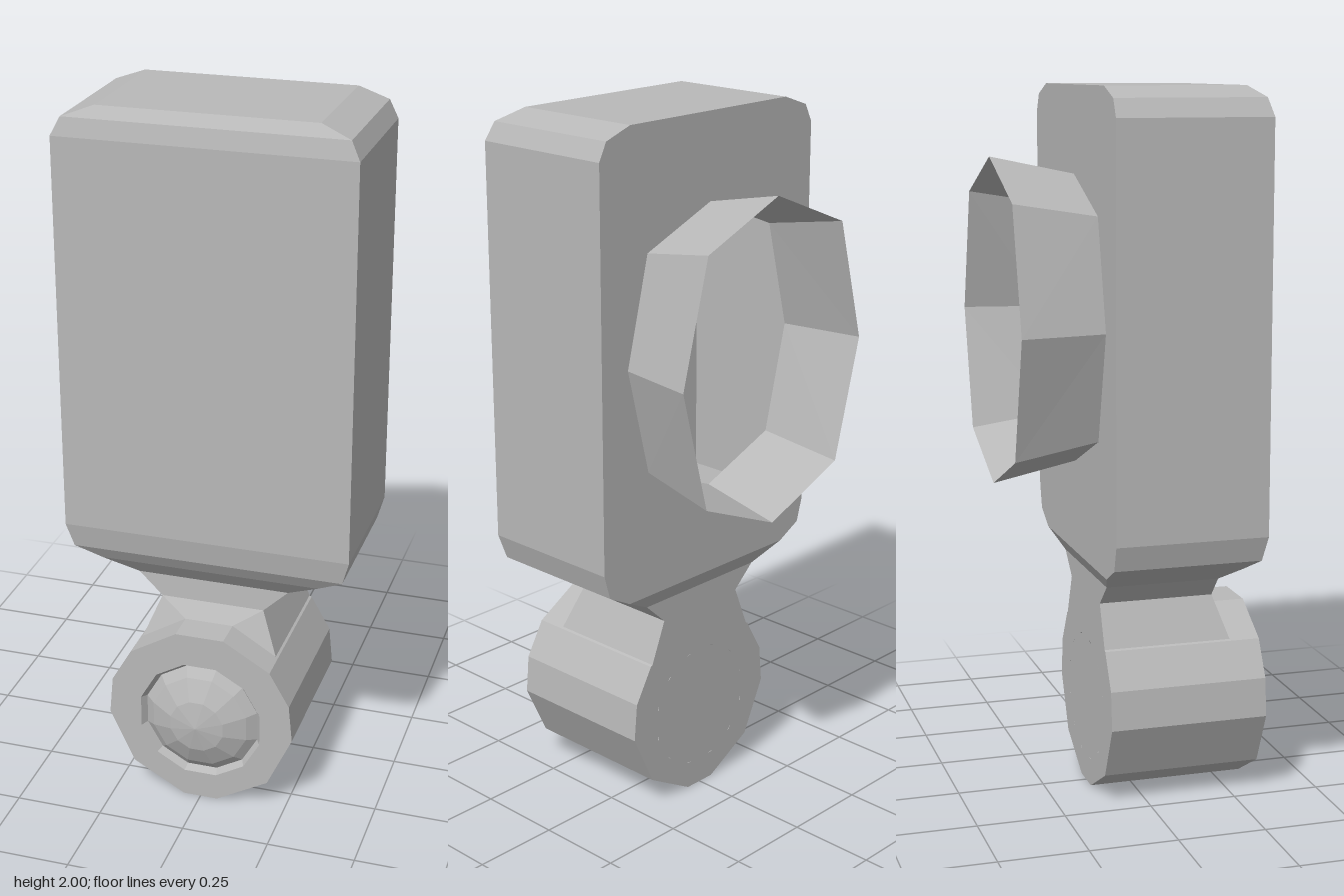
import * as THREE from 'three';
import { ConvexGeometry } from 'three/addons/geometries/ConvexGeometry.js';

const grey = new THREE.MeshStandardMaterial({ color: 0xb8b8b8, flatShading: true, side: THREE.DoubleSide });
grey.name = 'plain grey';

const BACK = -0.148;
const v2 = (x, y) => new THREE.Vector2(x, y);
const v3 = (x, y, z) => new THREE.Vector3(x, y, z);

// Builds a geometry from four-cornered faces, counter-clockwise from outside
function fromQuads(quads) {
  const pos = [];
  for (const [a, b, c, d] of quads) for (const p of [a, b, c, a, c, d]) pos.push(p.x, p.y, p.z);
  const g = new THREE.BufferGeometry();
  g.setAttribute('position', new THREE.Float32BufferAttribute(pos, 3));
  g.computeVertexNormals();
  return g;
}

// Mirrors the right half of an outline (listed bottom to top) across x = 0
function mirrored(half) {
  const other = half.filter(p => p[0] > 0).reverse().map(([x, y]) => [-x, y]);
  return [...half, ...other].map(([x, y]) => v2(x, y));
}

// Eight-sided outline of the rear funnel
const octagon = (w, wd, h, hd) => mirrored([[0, 1.357 - h], [wd, 1.357 - hd], [w, 1.357], [wd, 1.357 + hd], [0, 1.357 + h]]);

export function createModel() {
  const group = new THREE.Group();
  const add = (name, geometry) => {
    const mesh = new THREE.Mesh(geometry, grey);
    mesh.name = name;
    group.add(mesh);
    return mesh;
  };

  // Hollow body: rectangles from top to bottom as [y, half width, front z, back z]
  const levels = [
    [2.0, 0.3, 0.243, BACK], [1.97, 0.385, 0.27, BACK], [1.92, 0.41, 0.282, BACK],
    [0.8, 0.41, 0.282, BACK], [0.73, 0.39, 0.27, BACK], [0.69, 0.315, 0.245, BACK],
    [0.64, 0.22, 0.205, -0.12], [0.575, 0.15, 0.21, -0.12],
  ];
  const rings = levels.map(([y, w, f, b]) => [v3(w, y, f), v3(w, y, b), v3(-w, y, b), v3(-w, y, f)]);
  const quads = [rings[0]];
  for (let i = 0; i < rings.length - 1; i++) {
    for (let j = 0; j < 4; j++) {
      if (j === 1 && i < 5) continue; // the upper back is the pierced plate
      const k = (j + 1) % 4;
      quads.push([rings[i][j], rings[i + 1][j], rings[i + 1][k], rings[i][k]]);
    }
  }
  add('body', fromQuads(quads));

  // Back plate with the funnel opening
  const inner = octagon(0.315, 0.24, 0.402, 0.303);
  const outer = octagon(0.355, 0.265, 0.452, 0.342);
  const plate = new THREE.Shape(mirrored(levels.slice(0, 6).reverse().map(l => [l[1], l[0]])));
  plate.holes.push(new THREE.Path(inner));
  add('backPlate', new THREE.ShapeGeometry(plate).rotateY(Math.PI).translate(0, 0, BACK));

  // Flared open funnel on the back
  add('rearFunnel', fromQuads(inner.map((p, i) => {
    const n = (i + 1) % inner.length;
    const near = q => v3(q.x, q.y, BACK), far = q => v3(q.x, q.y, -0.385);
    return [near(p), far(p), far(outer[n]), near(inner[n])].map((q, j) => (j === 1 ? far(outer[i]) : q));
  })));

  // Neck joining the body to the barrel
  const neck = [];
  for (const s of [-1, 1]) {
    neck.push(v3(s * 0.15, 0.575, 0.21), v3(s * 0.15, 0.575, -0.12), v3(s * 0.07, 0.53, 0.245),
      v3(s * 0.2, 0.45, 0.25), v3(s * 0.2, 0.45, -0.12));
  }
  add('neck', new ConvexGeometry(neck));

  // Twelve-sided barrel with a socket in its front
  const CY = 0.257, R = 0.183;
  const barrel = new THREE.Shape(mirrored([[0.05, 0], [0.2, 0.085], [0.272, 0.24], [0.262, 0.35], [0.205, 0.45], [0.07, 0.53]]));
  const socket = [];
  for (let i = 0; i < 12; i++) {
    const a = (i + 0.5) * Math.PI / 6;
    socket.push(v2(R * Math.cos(a), CY + R * Math.sin(a)));
  }
  barrel.holes.push(new THREE.Path(socket));
  add('barrel', new THREE.ExtrudeGeometry(barrel, { depth: 0.455, bevelEnabled: false }).translate(0, 0, -0.12));
  // Closes the rear end of the barrel
  add('barrelBack', new THREE.CircleGeometry(R + 0.004, 12).rotateY(Math.PI).translate(0, CY, -0.12));

  // Faceted dome set in the socket
  const dome = [[R, 0.335], [0.17, 0.315], [0.143, 0.337], [0.08, 0.367], [0, 0.381]].map(([r, z]) => v2(r, z));
  add('dome', new THREE.LatheGeometry(dome, 12).rotateY(Math.PI / 12).rotateX(Math.PI / 2).translate(0, CY, 0));

  return group;
}
